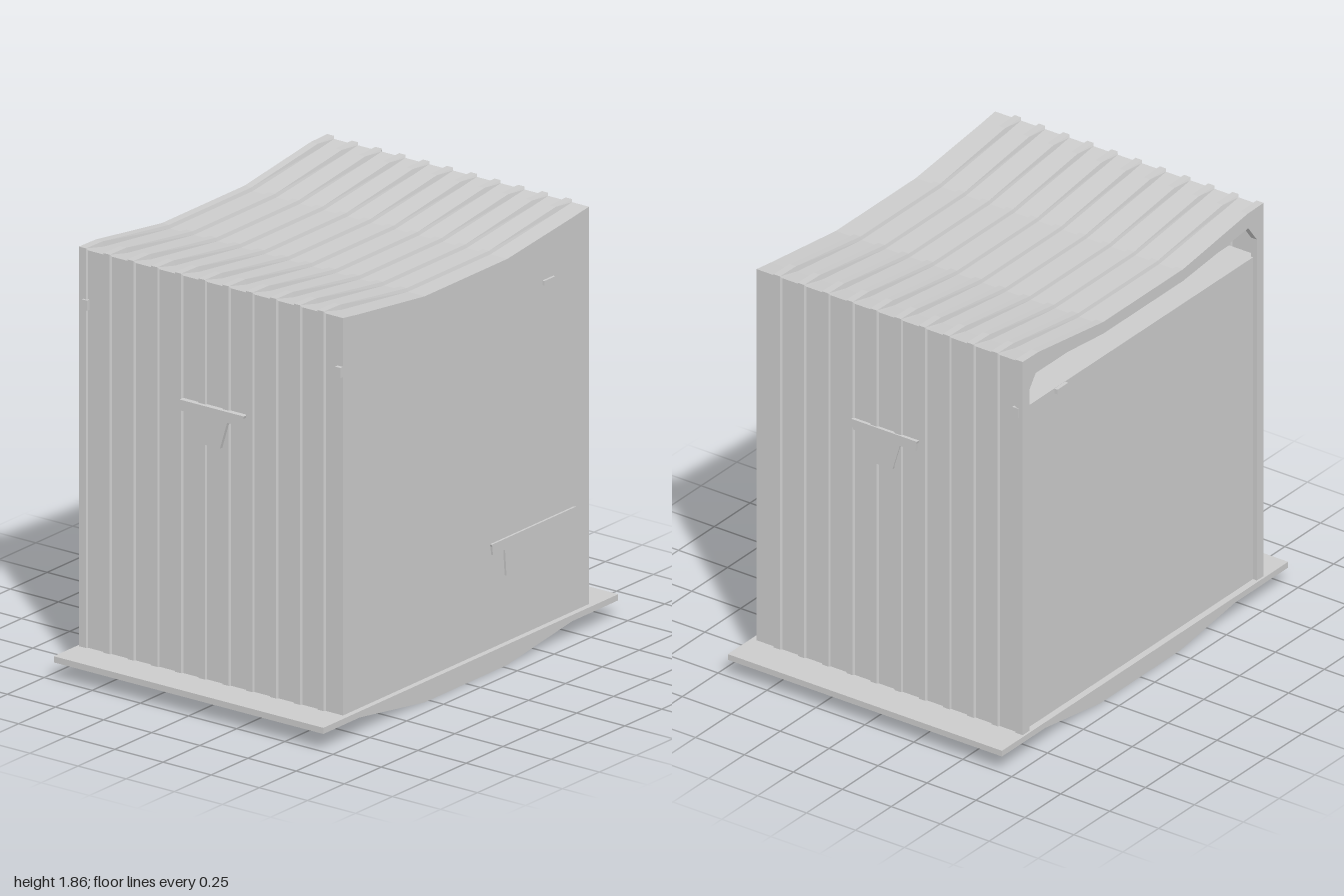
import * as THREE from 'three';

const grey = new THREE.MeshStandardMaterial({ color: 0xcccccc, flatShading: true, side: THREE.DoubleSide });

// Right half of each wall-and-roof section, from the floor to the roof centre
const grooveHalf = [[0.834, 0.1], [0.834, 1.852], [0.73, 1.838], [0.28, 1.785]];
const ribHalf = [[0.842, 0.1], [0.842, 1.862], [0.73, 1.86], [0.28, 1.8]];
const mirror = half => [...half.map(([x, y]) => [-x, y]), ...half.slice().reverse()];
const groove = mirror(grooveHalf);
const rib = mirror(ribHalf);

const toShape = pts => new THREE.Shape(pts.map(([x, y]) => new THREE.Vector2(x, y)));

export function createModel() {
  const model = new THREE.Group();

  function add(name, geometry, x = 0, y = 0, z = 0, turn = 0) {
    const mesh = new THREE.Mesh(geometry, grey);
    mesh.name = name;
    mesh.position.set(x, y, z);
    mesh.rotation.y = turn;
    model.add(mesh);
    return mesh;
  }
  const box = (name, w, h, d, x, y, z) => add(name, new THREE.BoxGeometry(w, h, d), x, y, z);

  // Corrugated shell: sections swept from front to back, eleven narrow ribs
  const stations = [[groove, 0.675]];
  for (let i = 0; i < 11; i++) {
    const z = 0.565 - i * 0.1235;
    stations.push([groove, z + 0.022], [rib, z + 0.016], [rib, z - 0.016]);
    if (i < 10) stations.push([groove, z - 0.022]);
  }
  stations.push([rib, -0.69]);
  const positions = [];
  const index = [];
  const n = groove.length;
  stations.forEach(([ring, z], i) => {
    ring.forEach(([x, y], j) => {
      positions.push(x, y, z);
      if (i < stations.length - 1 && j < n - 1) {
        const a = i * n + j;
        index.push(a, a + 1, a + n, a + 1, a + n + 1, a + n);
      }
    });
  });
  const shell = new THREE.BufferGeometry();
  shell.setAttribute('position', new THREE.Float32BufferAttribute(positions, 3));
  shell.setIndex(index);
  shell.computeVertexNormals();
  add('corrugatedShell', shell);

  // Flat front wall
  add('frontWall', new THREE.ShapeGeometry(toShape(groove)), 0, 0, 0.675);

  // Back frame around an opening with chamfered upper corners
  const frame = toShape(rib);
  const opening = mirror([[0.795, 0.105], [0.795, 1.71], [0.735, 1.79], [0.28, 1.745]]);
  frame.holes.push(new THREE.Path(opening.map(([x, y]) => new THREE.Vector2(x, y))));
  add('backFrame', new THREE.ExtrudeGeometry(frame, { depth: 0.03, bevelEnabled: false }), 0, 0, -0.69);

  // Back door with a ledge on top, and the recessed wall above it
  box('backDoor', 1.64, 1.52, 0.15, 0, 0.86, -0.595);
  const upper = mirror([[0.83, 1.6], [0.83, 1.848], [0.73, 1.836], [0.28, 1.784]]);
  add('upperBackWall', new THREE.ShapeGeometry(toShape(upper)), 0, 0, -0.53);

  // Base plate and the thin curved skirts under its front and back
  box('basePlate', 2, 0.027, 1.4, 0, 0.0915, 0);
  const skirt = toShape([[-0.84, 0.08], [-0.28, 0.0], [0.28, 0.0], [0.84, 0.08]]);
  for (const z of [0.675, -0.675]) add('skirt', new THREE.ShapeGeometry(skirt), 0, 0, z);

  // T-shaped brackets: a bar with a narrower plate hanging from its middle
  function bracket(name, barW, barH, topW, lowW, h, depth, x, y, z, turn) {
    const half = [[lowW / 2, -h], [topW / 2, -barH], [barW / 2 - 0.008, -barH],
      [barW / 2 - 0.004, -0.012], [barW / 2, 0]];
    const geometry = new THREE.ExtrudeGeometry(toShape(mirror(half)), { depth, bevelEnabled: false });
    add(name, geometry, x, y, z, turn);
  }
  bracket('frontBracket', 0.57, 0.048, 0.39, 0.37, 0.165, 0.012, 0.447, 0.565, 0.673, 0);
  bracket('leftBracket', 0.335, 0.047, 0.16, 0.085, 0.17, 0.016, 0.833, 1.315, 0.012, Math.PI / 2);
  bracket('rightBracket', 0.335, 0.047, 0.16, 0.085, 0.17, 0.026, -0.833, 1.315, 0.012, -Math.PI / 2);

  // Small handles on the front and back
  box('frontHandle', 0.075, 0.02, 0.014, 0.555, 1.61, 0.679);
  box('backHandle', 0.075, 0.022, 0.02, 0.555, 1.608, -0.676);

  // Small catches on the side walls
  for (const [x, z] of [[0.838, -0.655], [-0.842, -0.655], [-0.842, 0.66]]) {
    box('sideCatch', 0.018, 0.045, 0.028, x, 1.615, z);
  }

  return model;
}
